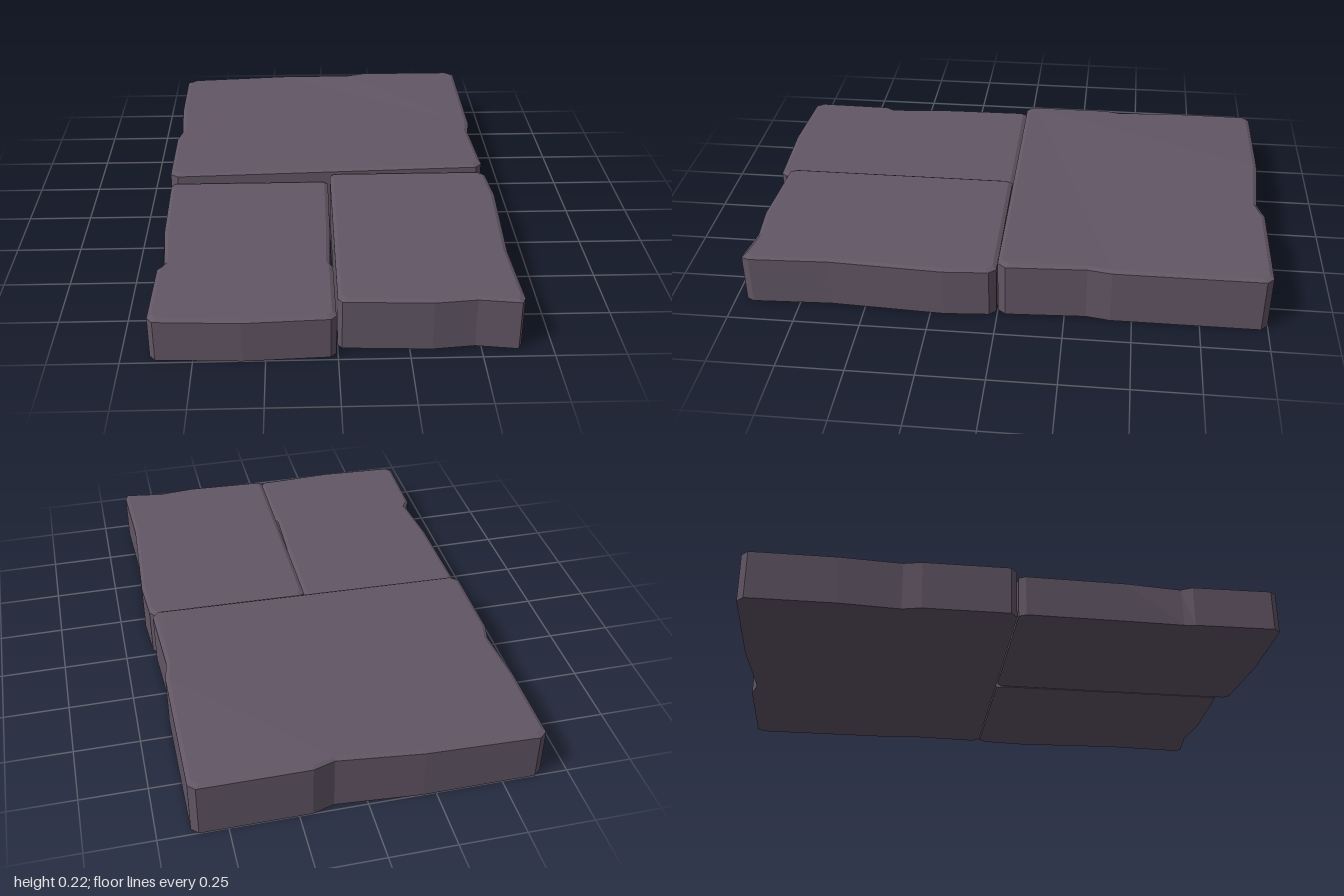
import * as THREE from 'three';

// Slab from horizontal rings: foot, shoulder and a slightly inset top.
// outline: [x, z, optional x shift of the top edge]; height: function of x
function makeSlab(name, outline, height, material) {
  const bevel = 0.015, drop = 0.008;
  const xs = outline.map(p => p[0]), zs = outline.map(p => p[1]);
  const x0 = Math.min(...xs), x1 = Math.max(...xs);
  const z0 = Math.min(...zs), z1 = Math.max(...zs);
  const cx = (x0 + x1) / 2, cz = (z0 + z1) / 2;
  const sx = 1 - 2 * bevel / (x1 - x0), sz = 1 - 2 * bevel / (z1 - z0);

  const foot = outline.map(([x, z]) => [x, 0, z]);
  const shoulder = outline.map(([x, z, shift = 0]) => [x + shift, height(x) - drop, z]);
  const top = shoulder.map(([x, y, z]) => [cx + (x - cx) * sx, y + drop, cz + (z - cz) * sz]);

  const pos = [];
  const tri = (a, b, c) => pos.push(...a, ...b, ...c);
  const n = outline.length;
  // Walls and bevel; outlines run clockwise as seen from above
  for (const [low, high] of [[foot, shoulder], [shoulder, top]]) {
    for (let i = 0; i < n; i++) {
      const j = (i + 1) % n;
      tri(low[i], high[j], low[j]);
      tri(low[i], high[i], high[j]);
    }
  }
  // Caps, oriented by the sign of each triangle
  const cap = (ring, up) => {
    const flat = ring.map(p => new THREE.Vector2(p[0], p[2]));
    for (const [a, b, c] of THREE.ShapeUtils.triangulateShape(flat, [])) {
      const A = ring[a], B = ring[b], C = ring[c];
      const ny = (B[2] - A[2]) * (C[0] - A[0]) - (B[0] - A[0]) * (C[2] - A[2]);
      if ((ny > 0) === up) tri(A, B, C); else tri(A, C, B);
    }
  };
  cap(top, true);
  cap(foot, false);

  const geometry = new THREE.BufferGeometry();
  geometry.setAttribute('position', new THREE.Float32BufferAttribute(pos, 3));
  geometry.computeVertexNormals();
  const mesh = new THREE.Mesh(geometry, material);
  mesh.name = name;
  return mesh;
}

export function createModel() {
  const group = new THREE.Group();
  group.name = 'pavingStones';
  const stone = new THREE.MeshStandardMaterial({ color: 0x625665, flatShading: true });
  stone.name = 'purple grey stone';

  // Wide back stone, sloping down toward -x
  const back = [
    [-0.655, -0.975], [-0.625, -1], [-0.2, -1], [0.12, -0.975], [0.2, -1], [0.605, -1],
    [0.63, -0.975], [0.63, -0.42], [0.615, -0.33], [0.63, -0.03], [0.605, 0],
    [-0.625, 0], [-0.655, -0.025], [-0.655, -0.35], [-0.638, -0.42], [-0.655, -0.65],
  ];
  const slope = x => 0.222 - 0.027 * THREE.MathUtils.clamp((0.13 - x) / 0.78, 0, 1);
  group.add(makeSlab('backStone', back, slope, stone));

  // Low, longer front stone
  const low = [
    [-0.65, 0.03], [-0.635, 0.004], [-0.025, 0.004], [-0.008, 0.025], [-0.006, 0.4, -0.005],
    [-0.006, 0.63, -0.012], [-0.006, 0.66, -0.002], [-0.006, 0.965], [-0.025, 0.985],
    [-0.33, 1], [-0.63, 0.985], [-0.65, 0.96], [-0.645, 0.66], [-0.64, 0.62, 0.018],
    [-0.645, 0.4, 0.002],
  ];
  group.add(makeSlab('lowFrontStone', low, () => 0.165, stone));

  // Taller, shorter front stone
  const tall = [
    [0, 0.03], [0.015, 0.004], [0.615, 0.004], [0.638, 0.03], [0.65, 0.2], [0.63, 0.63],
    [0.643, 0.93], [0.63, 0.957], [0.48, 0.935], [0.33, 0.95], [0.015, 0.935], [0, 0.915],
  ];
  group.add(makeSlab('tallFrontStone', tall, () => 0.2, stone));

  return group;
}
